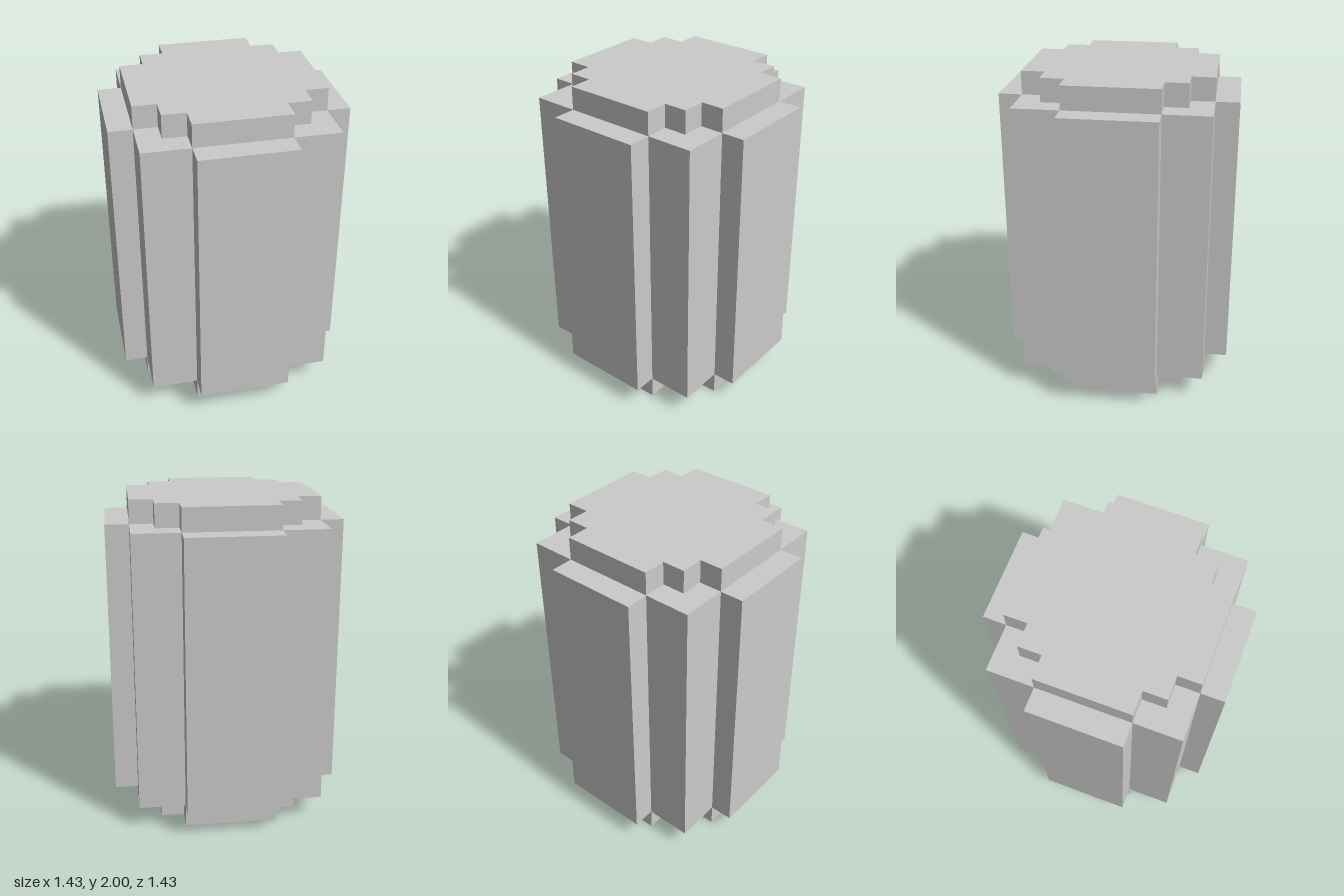
import * as THREE from 'three';

const U = 1 / 7; // one block step; the barrel is 14 steps tall and 10 wide

const material = new THREE.MeshStandardMaterial({ color: 0xcccccc, flatShading: true });

// Upright prism whose stepped outline is one quarter repeated four times
function steppedPrism(name, quarter, bottom, top) {
  const points = [];
  for (let i = 0; i < 4; i++) {
    const c = [1, 0, -1, 0][i];
    const s = [0, 1, 0, -1][i];
    for (const [x, y] of quarter) {
      points.push(new THREE.Vector2((x * c - y * s) * U, (x * s + y * c) * U));
    }
  }
  const geometry = new THREE.ExtrudeGeometry(new THREE.Shape(points), {
    depth: (top - bottom) * U,
    bevelEnabled: false,
  });
  geometry.rotateX(-Math.PI / 2);
  geometry.translate(0, bottom * U, 0);
  const mesh = new THREE.Mesh(geometry, material);
  mesh.name = name;
  return mesh;
}

export function createModel() {
  const group = new THREE.Group();
  group.name = 'barrel';

  // Body: square with a raised panel on each side
  const bodyQuarter = [[5, -2], [5, 2], [4, 2], [4, 4], [2, 4]];
  // End caps: inset, with two steps at each corner
  const capQuarter = [[4, -2], [4, 2], [3, 2], [3, 3], [2, 3]];

  group.add(
    steppedPrism('body', bodyQuarter, 1, 13),
    steppedPrism('bottomCap', capQuarter, 0, 1),
    steppedPrism('topCap', capQuarter, 13, 14),
  );
  return group;
}
